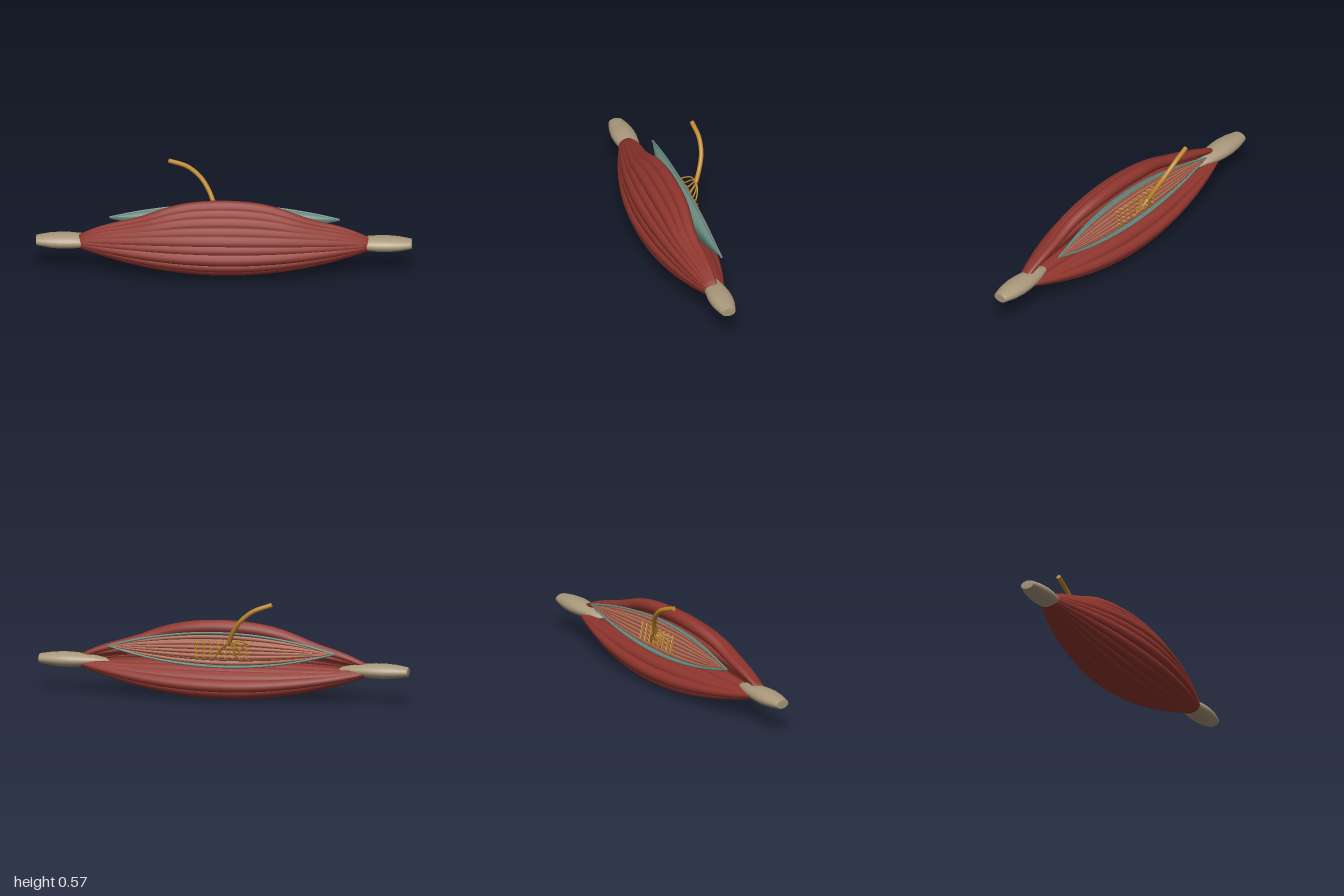
import * as THREE from 'three';

const mat = (name, color, side = THREE.FrontSide) => {
  const m = new THREE.MeshStandardMaterial({ color, side });
  m.name = name;
  return m;
};

// Tapering strand running along x: centre(x) gives [y, z], radius(x) the thickness
function strand(x0, x1, centre, radius, segs = 40, sides = 10) {
  const pos = [], idx = [];
  for (let i = 0; i <= segs + 2; i++) {
    const k = Math.min(Math.max(i - 1, 0), segs);
    const x = x0 + (x1 - x0) * k / segs;
    const r = i === 0 || i === segs + 2 ? 0.0005 : radius(x);
    const [y, z] = centre(x);
    for (let j = 0; j < sides; j++) {
      const a = j / sides * Math.PI * 2;
      pos.push(x, y + r * Math.cos(a), z + r * Math.sin(a));
      if (i === segs + 2) continue;
      const p = i * sides + j, q = i * sides + (j + 1) % sides;
      idx.push(p, q, p + sides, q, q + sides, p + sides);
    }
  }
  const g = new THREE.BufferGeometry();
  g.setAttribute('position', new THREE.Float32BufferAttribute(pos, 3));
  g.setIndex(idx);
  g.computeVertexNormals();
  return g;
}

export function createModel() {
  const root = new THREE.Group();
  root.name = 'muscleWithSpindle';
  const red = mat('muscle red', 0x8f352d);
  const bone = mat('tendon beige', 0xa8977a);
  const teal = mat('capsule teal', 0x66897f, THREE.DoubleSide);
  const gold = mat('nerve gold', 0xbd8729);
  const salmon = mat('inner fibre salmon', 0xae6650);
  const add = (parent, name, geo, material) => {
    const m = new THREE.Mesh(geo, material);
    m.name = name;
    parent.add(m);
    return m;
  };
  const group = (name) => {
    const g = new THREE.Group();
    g.name = name;
    root.add(g);
    return g;
  };
  const tube = (pts, r, segs = 24, sides = 8) =>
    new THREE.TubeGeometry(new THREE.CatmullRomCurve3(pts), segs, r, sides);
  const V = (x, y, z) => new THREE.Vector3(x, y, z);

  // Muscle fibres: mid-length centres [z, y] around an open C
  const CY = 0.178, CZ = 0.007, L = 0.77;
  const ring = [[0.014, 0.384], [0.06, 0.362], [0.098, 0.33], [0.13, 0.29], [0.157, 0.25],
    [0.168, 0.205], [0.18, 0.155], [0.165, 0.11], [0.135, 0.085], [0.1, 0.06], [0.06, 0.045],
    [0.02, 0.045], [-0.025, 0.038], [-0.07, 0.048], [-0.11, 0.062], [-0.133, 0.09], [-0.09, 0.122]];
  const muscle = group('muscle');
  const swell = (x) => 1 - (x / L) ** 2;
  const muscleFibre = (name, mz, my, rMid) => {
    const a = Math.atan2(my - CY, mz - CZ);
    const ez = CZ + 0.04 * Math.cos(a), ey = CY + 0.023 * Math.sin(a);
    const lift = THREE.MathUtils.clamp((my - 0.28) / 0.1, 0, 1);
    add(muscle, name, strand(-L, L, (x) => {
      const t = swell(x), d = Math.abs(x);
      return [ey + (my - ey) * t - 0.022 * lift * Math.exp(-(((d - 0.48) / 0.16) ** 2)),
        ez + (mz - ez) * t + 0.018 * lift * Math.exp(-(((d - 0.4) / 0.15) ** 2))];
    }, (x) => 0.014 + (rMid - 0.014) * swell(x)), red);
  };
  ring.forEach(([z, y], i) => {
    muscleFibre('muscleFibre', z, y, i % 2 ? 0.034 : 0.037);
    // inner layer closing the gaps between the outer fibres
    if (i > 0) muscleFibre('innerMuscleFibre', CZ + (z - CZ) * 0.6, CY + (y - CY) * 0.6, i < 4 ? 0.03 : 0.042);
  });
  muscleFibre('muscleCore', 0.035, 0.13, 0.07);

  // Tendons: flattened spindles at both ends
  const profile = [[0.001, 0.62], [0.025, 0.64], [0.045, 0.7], [0.057, 0.76], [0.064, 0.82], [0.065, 0.87],
    [0.058, 0.93], [0.044, 0.985], [0.039, 0.998], [0.037, 1], [0.0005, 1]];
  for (const s of [1, -1]) {
    const g = new THREE.LatheGeometry(profile.map(([r, h]) => new THREE.Vector2(r, h)), 32);
    g.rotateZ(-Math.PI / 2).scale(1, 0.62, 1);
    if (s < 0) g.rotateY(Math.PI);
    add(root, s > 0 ? 'leftTendon' : 'rightTendon', g, bone).position.set(0, CY, CZ);
  }

  // Capsule: open boat-shaped shell; h runs along the tilted rim plane, d is the depth
  const HX = 0.61;
  const onCapsule = (x, h, d) => V(x, 0.275 + 0.98 * h - 0.19 * d, -0.077 + 0.19 * h + 0.98 * d);
  const capsule = group('capsule');
  const pos = [], idx = [], NU = 48, NV = 16;
  for (let i = 0; i <= NU; i++) {
    const u = -1 + 2 * i / NU, w = Math.max(1 - u * u, 0.002);
    for (let j = 0; j <= NV; j++) {
      const a = Math.PI * j / NV, c = Math.cos(a);
      const p = onCapsule(HX * u, 0.09 * w * Math.sign(c) * Math.abs(c) ** 0.7,
        0.078 * w * Math.abs(Math.sin(a)) ** 0.7);
      pos.push(p.x, p.y, p.z);
      if (i < NU && j < NV) {
        const k = i * (NV + 1) + j;
        idx.push(k, k + 1, k + NV + 1, k + 1, k + NV + 2, k + NV + 1);
      }
    }
  }
  const shell = new THREE.BufferGeometry();
  shell.setAttribute('position', new THREE.Float32BufferAttribute(pos, 3));
  shell.setIndex(idx);
  shell.computeVertexNormals();
  add(capsule, 'capsuleShell', shell, teal);
  for (const s of [1, -1]) {
    const pts = [];
    for (let i = 0; i <= 16; i++) {
      const u = -1 + i / 8;
      pts.push(onCapsule(HX * u, s * 0.09 * (1 - u * u), 0));
    }
    add(capsule, 'capsuleRim', tube(pts, 0.006, 48), teal);
  }

  // Fibres inside the capsule, converging on its tips
  const inner = group('innerFibres');
  const innerFibre = (h, d) => add(inner, 'innerFibre', strand(-0.59, 0.59, (x) => {
    const t = 1 - (x / 0.61) ** 2, p = onCapsule(x, h * t, d * t);
    return [p.y, p.z];
  }, (x) => 0.003 + 0.008 * (1 - (x / 0.61) ** 2), 32, 8), salmon);
  for (let i = 0; i < 7; i++) innerFibre((i - 3) * 0.023, 0.018);
  const coiled = [0.036, 0.012, -0.012, -0.036];
  coiled.forEach((h) => innerFibre(h, -0.012));

  // Nerve endings coiled around the front fibres, with branches joining the nerve
  const nerve = group('nerve');
  const joint = V(-0.06, 0.338, -0.147);
  coiled.forEach((h, k) => {
    const pts = [];
    for (let i = 0; i <= 72; i++) {
      const a = i / 9 * Math.PI * 2, x = -0.17 + 0.31 * i / 72;
      pts.push(onCapsule(x, h + 0.012 * Math.cos(a), -0.013 + 0.012 * Math.sin(a)));
    }
    add(nerve, 'nerveCoil', tube(pts, 0.0042, 144, 6), gold);
    for (const x of [-0.15 + k * 0.02, -0.05 + k * 0.025]) {
      const end = onCapsule(x, h, -0.027);
      const mid = joint.clone().lerp(end, 0.55).add(V(0, 0.012, -0.012));
      add(nerve, 'nerveBranch', tube([joint, mid, end], 0.0042, 16, 6), gold);
    }
  });
  const stem = [joint, V(-0.085, 0.395, -0.172), V(-0.13, 0.46, -0.197), V(-0.2, 0.517, -0.207), V(-0.3, 0.555, -0.199)];
  add(nerve, 'nerveStem', tube(stem, 0.0125, 32, 12), gold);
  const dir = stem[4].clone().sub(stem[3]).normalize();
  const cap = add(nerve, 'nerveEnd', new THREE.CircleGeometry(0.0125, 12), gold);
  cap.position.copy(stem[4]);
  cap.quaternion.setFromUnitVectors(V(0, 0, 1), dir);
  add(nerve, 'nerveJoint', new THREE.SphereGeometry(0.0128, 12, 8), gold).position.copy(joint);

  return root;
}
